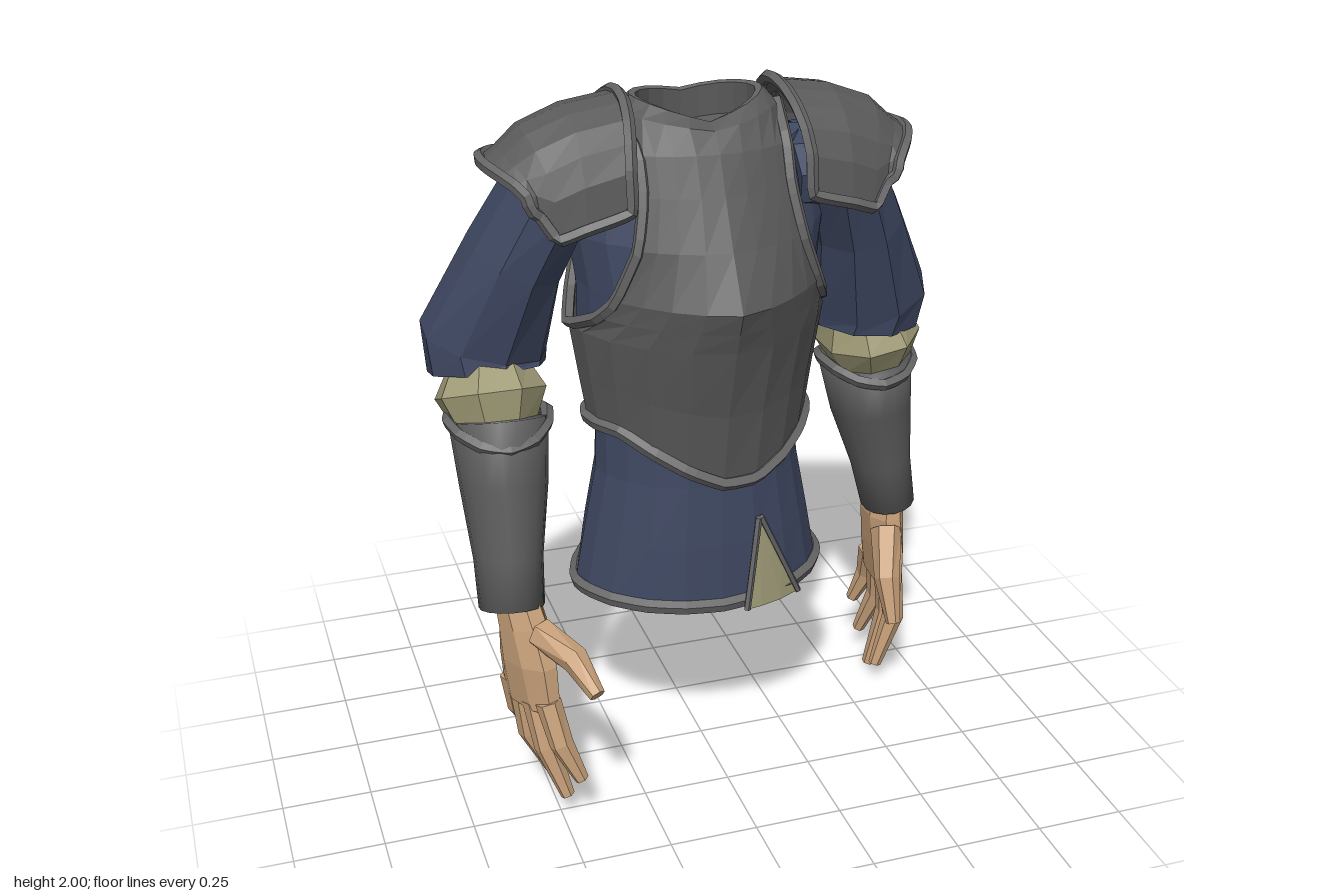
import * as THREE from 'three';

const paint = (name, color) => new THREE.MeshStandardMaterial({ name, color, side: THREE.DoubleSide });
const M = {
  steel: paint('dark steel', 0x5a5a5a),
  trim: paint('steel trim', 0x656565),
  cloth: paint('navy cloth', 0x3f4862),
  cuff: paint('olive linen', 0x9f9a76),
  skin: paint('skin', 0xc8a17a),
};
const V = (p) => new THREE.Vector3(...p);

// Skin a grid of points, flat shaded unless smooth
function grid(name, mat, rows, closed = false, smooth = false) {
  const n = rows[0].length, cols = closed ? n : n - 1, index = [];
  for (let r = 0; r + 1 < rows.length; r++)
    for (let c = 0; c < cols; c++) {
      const a = r * n + c, b = r * n + (c + 1) % n;
      index.push(a, a + n, b, b, a + n, b + n);
    }
  let g = new THREE.BufferGeometry();
  g.setAttribute('position', new THREE.Float32BufferAttribute(rows.flat(2), 3));
  g.setIndex(index);
  if (!smooth) g = g.toNonIndexed();
  g.computeVertexNormals();
  const mesh = new THREE.Mesh(g, mat);
  mesh.name = name;
  return mesh;
}

// Raised border along a path
function border(name, pts, r = 0.014, closed = false) {
  const curve = new THREE.CatmullRomCurve3(pts.map(V), closed, 'catmullrom', 0.15);
  const mesh = new THREE.Mesh(new THREE.TubeGeometry(curve, pts.length * 3, r, 5, closed).toNonIndexed(), M.trim);
  mesh.geometry.computeVertexNormals();
  mesh.name = name;
  return mesh;
}

// Closed limb through stations [x, y, z, thickness, width], wide along the given direction
function limb(name, mat, st, sides = 8, wide = [0, 0, 1], smooth = false) {
  const c = st.map((s) => V(s.slice(0, 3))), last = st.length - 1;
  const rows = st.map((s, i) => {
    const d = c[Math.min(i + 1, last)].clone().sub(c[Math.max(i - 1, 0)]).normalize();
    const u = V(wide).addScaledVector(d, -V(wide).dot(d)).normalize();
    const v = new THREE.Vector3().crossVectors(d, u);
    return Array.from({ length: sides }, (_, k) => {
      const t = ((k + 0.5) / sides) * Math.PI * 2;
      return c[i].clone().addScaledVector(v, s[3] * Math.cos(t)).addScaledVector(u, s[4] * Math.sin(t)).toArray();
    });
  });
  const cap = (i) => Array(sides).fill(c[i].toArray());
  return grid(name, mat, [cap(0), ...rows, cap(last)], true, smooth);
}

// Body profile: y, half width, front z, back z, front roundness
const BODY = [
  [1.97, 0.18, 0.075, -0.19, 2.4], [1.93, 0.22, 0.115, -0.24, 2.2], [1.85, 0.31, 0.155, -0.295, 2],
  [1.75, 0.355, 0.2, -0.325, 1.7], [1.62, 0.38, 0.265, -0.335, 1.5], [1.48, 0.36, 0.345, -0.33, 1.4],
  [1.36, 0.36, 0.3, -0.3, 1.6], [1.2, 0.335, 0.24, -0.265, 1.8], [1.08, 0.315, 0.2, -0.25, 2],
  [0.92, 0.3, 0.185, -0.29, 2.2], [0.54, 0.365, 0.2, -0.44, 2.2],
];
const MID = -0.05;
function body(y) {
  let i = 0;
  while (i < BODY.length - 2 && BODY[i + 1][0] > y) i++;
  const [a, b] = [BODY[i], BODY[i + 1]];
  const t = THREE.MathUtils.clamp((a[0] - y) / (a[0] - b[0]), 0, 1);
  return a.map((v, k) => v + (b[k] - v) * t);
}
function bodyZ(y, x, front, grow = 0) {
  const [, w, zf, zb, round] = body(y);
  const q = Math.min(1, Math.abs(x) / (w + grow));
  const f = Math.pow(1 - Math.pow(q, front ? round : 2.4), 0.58);
  return MID + f * (front ? zf + grow - MID : zb - grow - MID);
}
// Ring around the body; the skew swings the back of the skirt sideways
function bodyRing(y, grow, lift = 0, skew = 0) {
  return Array.from({ length: 20 }, (_, i) => {
    const t = (i / 20) * Math.PI * 2, x = (body(y)[1] + grow) * Math.sin(t);
    const z = bodyZ(y, x, Math.cos(t) > -1e-6, grow);
    return [x + skew * Math.max(0, MID - z), y + lift * Math.abs(Math.sin(t)), z];
  });
}

function tunic() {
  const g = new THREE.Group();
  g.name = 'tunic';
  const rows = [1.85, 1.75, 1.62, 1.48, 1.36, 1.2, 1.08].map((y) => bodyRing(y, -0.024));
  const hem = bodyRing(0.558, 0, 0.014, 0.16);
  g.add(grid('tunicCloth', M.cloth, [...rows, bodyRing(0.92, -0.005), bodyRing(0.74, 0, 0, 0.08), hem], true));
  g.add(grid('tunicUnderside', M.steel, [hem, Array(20).fill([0, 0.57, -0.1])], true));
  g.add(border('hem', hem, 0.02, true));
  // Front slit with linen showing, folded under the hem
  const at = (t, s) => {
    const y = 0.82 - 0.28 * t, x = 0.11 + t * (s < 0 ? -0.045 : 0.13) * Math.abs(s);
    return [x, y, bodyZ(y, x, true) + 0.008 + 0.014 * t];
  };
  const steps = [0.01, 0.3, 0.6, 1];
  const row = (t) => [-1, 0, 0.5, 1].map((s) => at(t, s));
  const fold = row(1).map(([x, y, z]) => [x, y - 0.003, z - 0.1]);
  g.add(grid('slitLinen', M.cuff, [...steps.map(row), fold]));
  g.add(border('slitBorder', [...steps.map((t) => at(t, -1)).reverse(), ...steps.map((t) => at(t, 1))], 0.01));
  return g;
}

function cuirass() {
  const g = new THREE.Group();
  g.name = 'cuirass';
  const ys = [1.97, 1.93, 1.85, 1.75, 1.62, 1.48, 1.42, 1.36, 1.2, 1.08];
  const edges = {
    front: [0.18, 0.215, 0.2, 0.2, 0.225, 0.28, 0.315, 0.36, 0.335, 0.315],
    back: [0.18, 0.22, 0.265, 0.265, 0.275, 0.3, 0.325, 0.36, 0.335, 0.315],
  };
  const plate = (side) => ys.map((y0, r) => Array.from({ length: 11 }, (_, c) => {
    const x = edges[side][r] * Math.sin(((c - 5) / 10) * Math.PI), front = side === 'front';
    const dip = Math.max(0, 1 - Math.pow(Math.abs(x - 0.05) / 0.3, 1.4)) * (r === 9 ? 1 : r === 8 ? 0.35 : 0);
    const notch = [front ? 0.055 : 0.03, front ? 0.03 : 0.015][r] ?? 0;
    const y = y0 - dip * (front ? 0.155 : 0.06) - notch * Math.max(0, 1 - Math.abs(x) / 0.18);
    return [x, y, bodyZ(y0, x, front)];
  }));
  const f = plate('front'), b = plate('back');
  g.add(grid('breastplate', M.steel, f), grid('backplate', M.steel, b));
  // Borders of the arm holes, waist and neck
  for (const c of [0, 10])
    g.add(border('armHoleBorder', [...f.slice(1, 8).map((r) => r[c]), ...b.slice(1, 7).map((r) => r[c]).reverse()], 0.018));
  const loop = (r) => [...f[r], ...b[r].slice(1, 10).reverse()];
  g.add(border('waistBorder', loop(9), 0.02, true));
  // Thick neck rim and the inside of the opening
  const ring = (k, drop) => loop(0).map(([x, y, z]) => [x * k, y - drop, MID + (z - MID) * k]);
  const lip = ring(0.9, 0.005);
  g.add(grid('neckRim', M.trim, [ring(1, 0), lip], true));
  g.add(grid('neckLining', M.steel, [lip, ring(0.92, 0.09), Array(lip.length).fill([0, 1.83, MID])], true));
  return g;
}

function pauldron(s) {
  const g = new THREE.Group();
  g.name = s > 0 ? 'leftPauldron' : 'rightPauldron';
  // x, crown y, lower edge y, half depth, inward pull at the ends
  const st = [[0.215, 1.985, 1.73, 0.215, -0.03], [0.36, 1.965, 1.695, 0.21, 0], [0.48, 1.92, 1.67, 0.195, 0.05],
    [0.54, 1.865, 1.73, 0.175, 0.07], [0.58, 1.835, 1.75, 0.18, 0.085]];
  const rows = st.map(([x, top, low, r, pull]) => Array.from({ length: 11 }, (_, i) => {
    const t = (i / 10) * Math.PI, c = Math.cos(t), edge = low + Math.max(0, -c) * 0.04;
    return [s * (x - pull * c * c), edge + (top - edge) * Math.pow(Math.abs(Math.sin(t)), 0.8), -0.03 + r * c];
  }));
  g.add(grid('shoulderPlate', M.steel, rows));
  const ends = (c) => rows.slice(1, -1).map((r) => r[c]);
  g.add(border('shoulderBorder', [...rows[0], ...ends(10), ...[...rows[4]].reverse(), ...ends(0).reverse()], 0.017, true));
  return g;
}

function hand(name, wide, palm, knuckles, bends, tips, thumb) {
  const g = new THREE.Group();
  g.name = name;
  g.add(limb('palm', M.skin, palm, 8, wide));
  tips.forEach((tip, i) => {
    const k = knuckles[i], m = bends[i];
    g.add(limb('finger', M.skin, [[...k, 0.036, 0.036], [...m, 0.034, 0.031], [...tip, 0.02, 0.018]], 6, wide));
  });
  g.add(limb('thumb', M.skin, [[...thumb[0], 0.045, 0.055], [...thumb[1], 0.038, 0.04], [...thumb[2], 0.022, 0.022]], 6, wide));
  return g;
}

function arm(name, sleeve, cuff, bracer) {
  const g = new THREE.Group();
  g.name = name;
  g.add(limb('sleeve', M.cloth, sleeve, 9), limb('cuff', M.cuff, cuff, 8));
  g.add(limb('bracer', M.steel, bracer, 16, [0, 0, 1], true));
  const [x, y, z, a, b] = bracer[0];
  const rim = Array.from({ length: 12 }, (_, i) => {
    const t = (i / 12) * Math.PI * 2;
    return [x + a * Math.cos(t), y - 0.012 + 0.02 * Math.cos(2 * t), z + b * Math.sin(t)];
  });
  g.add(border('bracerBorder', rim, 0.018, true));
  return g;
}

export function createModel() {
  const model = new THREE.Group();
  model.name = 'armouredTorso';
  model.add(tunic(), cuirass(), pauldron(1), pauldron(-1));

  model.add(arm('leftArm',
    [[0.24, 1.74, -0.04, 0.12, 0.16], [0.39, 1.75, -0.04, 0.135, 0.17], [0.475, 1.56, -0.09, 0.135, 0.165],
      [0.55, 1.31, -0.16, 0.18, 0.17], [0.545, 1.23, -0.165, 0.165, 0.16]],
    [[0.545, 1.26, -0.16, 0.12, 0.13], [0.565, 1.17, -0.17, 0.15, 0.18], [0.575, 1.08, -0.16, 0.11, 0.12]],
    [[0.56, 1.1, -0.165, 0.135, 0.15], [0.585, 0.95, -0.17, 0.12, 0.135], [0.625, 0.76, -0.17, 0.09, 0.105], [0.655, 0.61, -0.17, 0.08, 0.1]]));
  model.add(arm('rightArm',
    [[-0.24, 1.74, -0.04, 0.12, 0.16], [-0.39, 1.75, -0.04, 0.135, 0.17], [-0.49, 1.56, -0.08, 0.135, 0.165],
      [-0.575, 1.31, -0.14, 0.18, 0.16], [-0.575, 1.23, -0.12, 0.165, 0.15]],
    [[-0.575, 1.25, -0.1, 0.11, 0.11], [-0.58, 1.18, -0.06, 0.155, 0.16], [-0.575, 1.09, -0.03, 0.11, 0.12]],
    [[-0.57, 1.12, -0.02, 0.135, 0.145], [-0.575, 0.95, 0.04, 0.12, 0.13], [-0.585, 0.76, 0.1, 0.095, 0.105], [-0.59, 0.63, 0.14, 0.09, 0.1]]));

  model.add(hand('leftHand', [0, 0, 1],
    [[0.645, 0.68, -0.17, 0.055, 0.075], [0.64, 0.58, -0.17, 0.06, 0.095], [0.65, 0.47, -0.18, 0.055, 0.12], [0.66, 0.34, -0.195, 0.042, 0.125]],
    [[0.65, 0.38, -0.105], [0.66, 0.37, -0.165], [0.66, 0.37, -0.225], [0.655, 0.38, -0.28]],
    [[0.665, 0.23, -0.105], [0.675, 0.21, -0.18], [0.675, 0.23, -0.255], [0.665, 0.27, -0.32]],
    [[0.61, 0.065, -0.105], [0.63, 0.01, -0.2], [0.635, 0.08, -0.3], [0.63, 0.165, -0.35]],
    [[0.63, 0.54, -0.11], [0.6, 0.42, -0.02], [0.605, 0.29, 0.03]]));
  model.add(hand('rightHand', [0.35, 0, 0.94],
    [[-0.58, 0.68, 0.13, 0.055, 0.075], [-0.565, 0.58, 0.16, 0.06, 0.095], [-0.56, 0.48, 0.18, 0.055, 0.12], [-0.555, 0.35, 0.19, 0.042, 0.125]],
    [[-0.53, 0.39, 0.275], [-0.555, 0.37, 0.22], [-0.575, 0.37, 0.16], [-0.59, 0.39, 0.105]],
    [[-0.505, 0.27, 0.31], [-0.535, 0.23, 0.25], [-0.56, 0.23, 0.16], [-0.575, 0.28, 0.1]],
    [[-0.455, 0.155, 0.33], [-0.485, 0.075, 0.28], [-0.5, 0.09, 0.16], [-0.515, 0.165, 0.09]],
    [[-0.53, 0.58, 0.23], [-0.465, 0.55, 0.34], [-0.43, 0.485, 0.43]]));
  return model;
}
